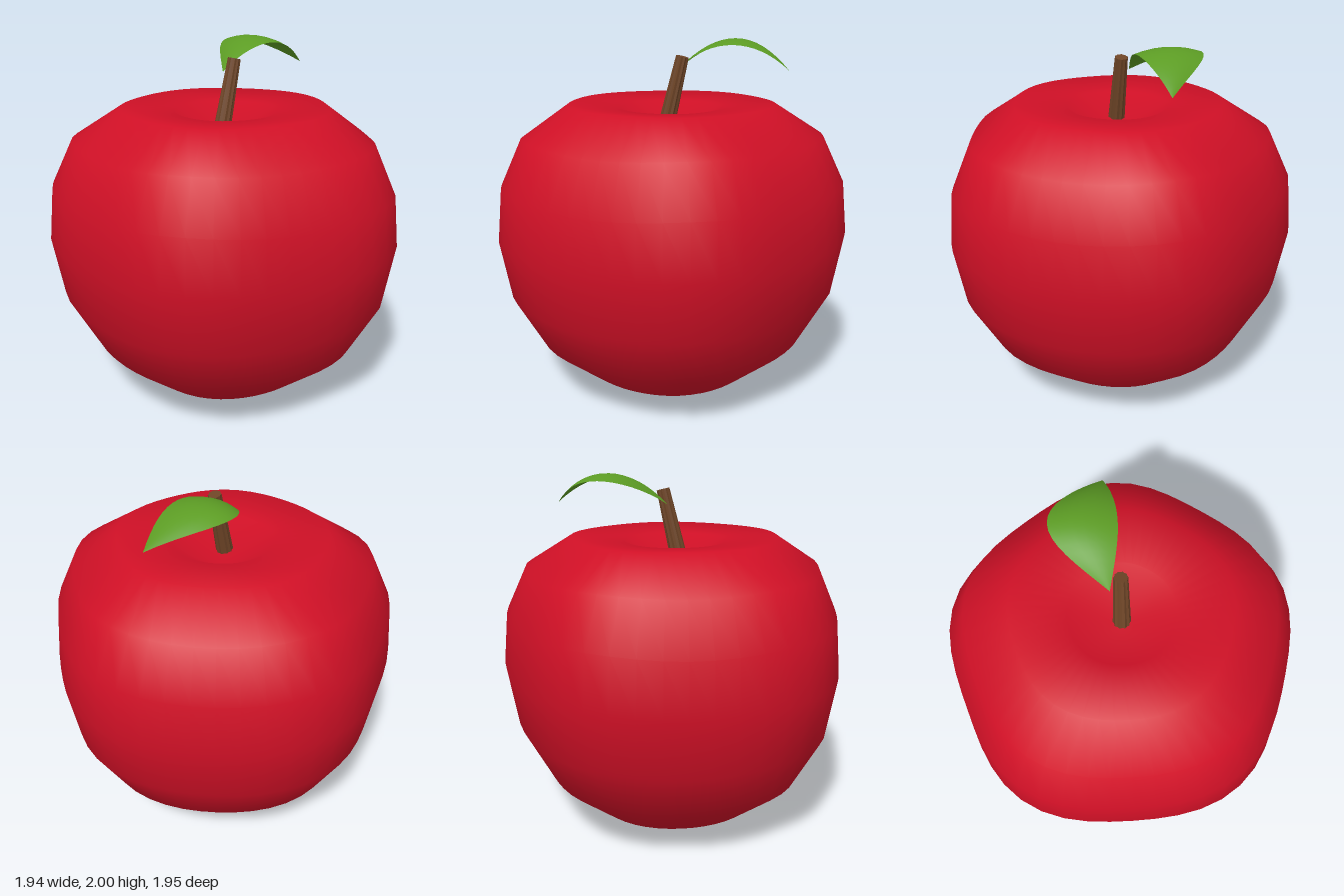
import * as THREE from 'three';
import { mergeVertices } from 'three/addons/utils/BufferGeometryUtils.js';

const red = new THREE.MeshStandardMaterial({ color: 0xd01026 });
red.name = 'appleRed';
const brown = new THREE.MeshStandardMaterial({ color: 0x6e4527, flatShading: true });
brown.name = 'stemBrown';
const green = new THREE.MeshStandardMaterial({ color: 0x5c9c24, side: THREE.DoubleSide });
green.name = 'leafGreen';

function part(name, geometry, material) {
  const mesh = new THREE.Mesh(geometry, material);
  mesh.name = name;
  return mesh;
}

// Fruit body: a lathe pushed out into five soft lobes, dimpled at the top
function makeBody() {
  const profile = [
    [0, 0.04], [0.228, 0.003], [0.497, 0.104], [0.754, 0.315], [0.912, 0.607], [0.968, 0.934],
    [0.941, 1.224], [0.825, 1.483], [0.574, 1.655], [0.28, 1.63], [0, 1.46],
  ].map(([r, y]) => new THREE.Vector2(r, y));
  let geo = new THREE.LatheGeometry(profile, 48);
  geo.deleteAttribute('uv');
  geo.deleteAttribute('normal');
  const p = geo.attributes.position;
  for (let i = 0; i < p.count; i++) {
    const x = p.getX(i), y = p.getY(i), z = p.getZ(i);
    const r = Math.hypot(x, z);
    const lobe = Math.cos(5 * Math.atan2(z, x));
    const k = 1 + 0.03 * r * lobe;
    const lift = y < 1.5 ? 0.018 * r ** 3 * lobe : 0;
    p.setXYZ(i, x * k - 0.03, y + lift, z * k);
  }
  geo = mergeVertices(geo, 1e-4);
  geo.computeVertexNormals();
  return part('fruitBody', geo, red);
}

// Stem: a tapered, leaning cylinder with ridged bark
function makeStem() {
  const bottom = new THREE.Vector3(-0.048, 1.56, 0);
  const top = new THREE.Vector3(0.035, 1.908, 0);
  const axis = top.clone().sub(bottom);
  const sides = 20;
  const geo = new THREE.CylinderGeometry(0.036, 0.047, axis.length(), sides, 1);
  const p = geo.attributes.position;
  for (let i = 0; i < p.count; i++) {
    const step = Math.round(Math.atan2(p.getX(i), p.getZ(i)) / (Math.PI * 2 / sides));
    const k = step % 2 ? 0.88 : 1;
    p.setX(i, p.getX(i) * k);
    p.setZ(i, p.getZ(i) * k);
  }
  geo.computeVertexNormals();
  const stem = part('stem', geo, brown);
  stem.position.copy(bottom).lerp(top, 0.5);
  stem.quaternion.setFromUnitVectors(new THREE.Vector3(0, 1, 0), axis.normalize());
  return stem;
}

// Leaf: an arched sheet, pointed at both ends and bowed across its width
function makeLeaf() {
  const geo = new THREE.PlaneGeometry(1, 1, 16, 6);
  const p = geo.attributes.position;
  for (let i = 0; i < p.count; i++) {
    const u = p.getX(i) + 0.5, v = 0.5 - p.getY(i);
    const w = Math.sin(Math.PI * u);
    const front = -0.055 + 0.058 * w, back = -0.055 - 0.28 * w;
    const y = 2 - 0.168 * (2 * u - 1) ** 2 - 0.028 * w * (2 * v - 1) ** 2;
    p.setXYZ(i, 0.62 * u, y, back + (front - back) * v);
  }
  geo.computeVertexNormals();
  return part('leaf', geo, green);
}

export function createModel() {
  const group = new THREE.Group();
  group.name = 'apple';
  group.add(makeBody(), makeStem(), makeLeaf());
  return group;
}
